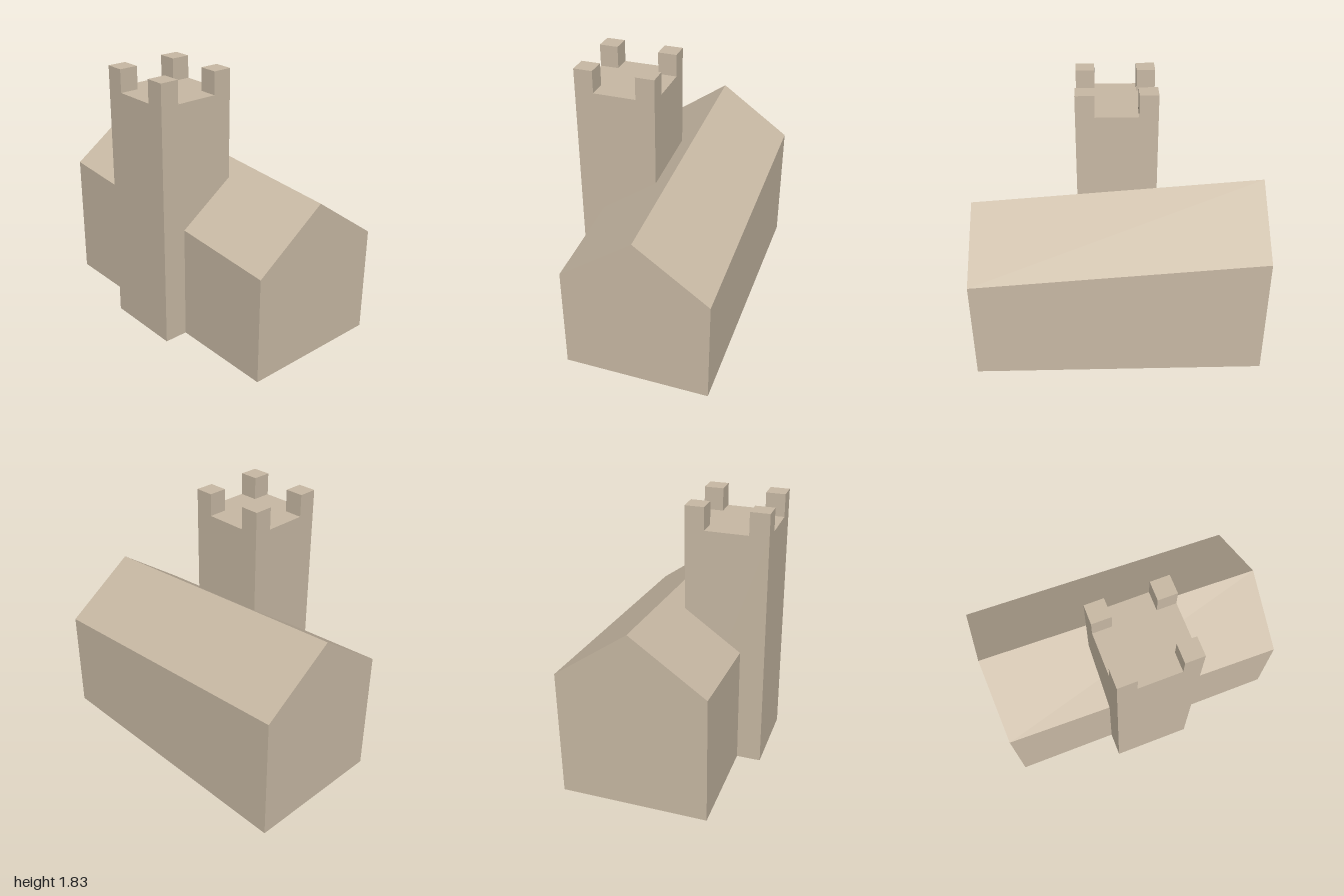
import * as THREE from 'three';

export function createModel() {
  const model = new THREE.Group();
  const stone = new THREE.MeshStandardMaterial({ color: 0xc8b9a4, flatShading: true });

  const add = (name, geometry, parent = model) => {
    const mesh = new THREE.Mesh(geometry, stone);
    mesh.name = name;
    parent.add(mesh);
    return mesh;
  };

  // Gabled hall: pentagon section (z, y) extruded along x
  const section = new THREE.Shape([
    [-0.583, 0], [0.417, 0], [0.417, 0.817], [-0.083, 1.172], [-0.583, 0.817],
  ].map(([z, y]) => new THREE.Vector2(z, y)));
  const hall = new THREE.ExtrudeGeometry(section, { depth: 2, bevelEnabled: false });
  hall.rotateY(-Math.PI / 2).translate(1, 0, 0);

  // Eaves and ridge fall towards +x while the base stays level
  const pos = hall.attributes.position;
  for (let i = 0; i < pos.count; i++) {
    if (pos.getY(i) > 0.01) pos.setY(i, pos.getY(i) - 0.075 * pos.getX(i));
  }
  hall.computeVertexNormals();
  add('hall', hall);

  // Square tower set into the front of the hall
  const width = 0.553, deck = 1.67, top = 1.825, merlon = 0.13;
  const tower = new THREE.Group();
  tower.name = 'tower';
  tower.position.z = 0.583 - width / 2;
  model.add(tower);
  add('towerShaft', new THREE.BoxGeometry(width, deck, width), tower).position.y = deck / 2;

  // Corner battlements
  const offset = (width - merlon) / 2;
  for (const sx of [-1, 1]) {
    for (const sz of [-1, 1]) {
      const name = (sz > 0 ? 'front' : 'back') + (sx > 0 ? 'Left' : 'Right') + 'Battlement';
      add(name, new THREE.BoxGeometry(merlon, top - deck, merlon), tower)
        .position.set(sx * offset, (top + deck) / 2, sz * offset);
    }
  }

  return model;
}
